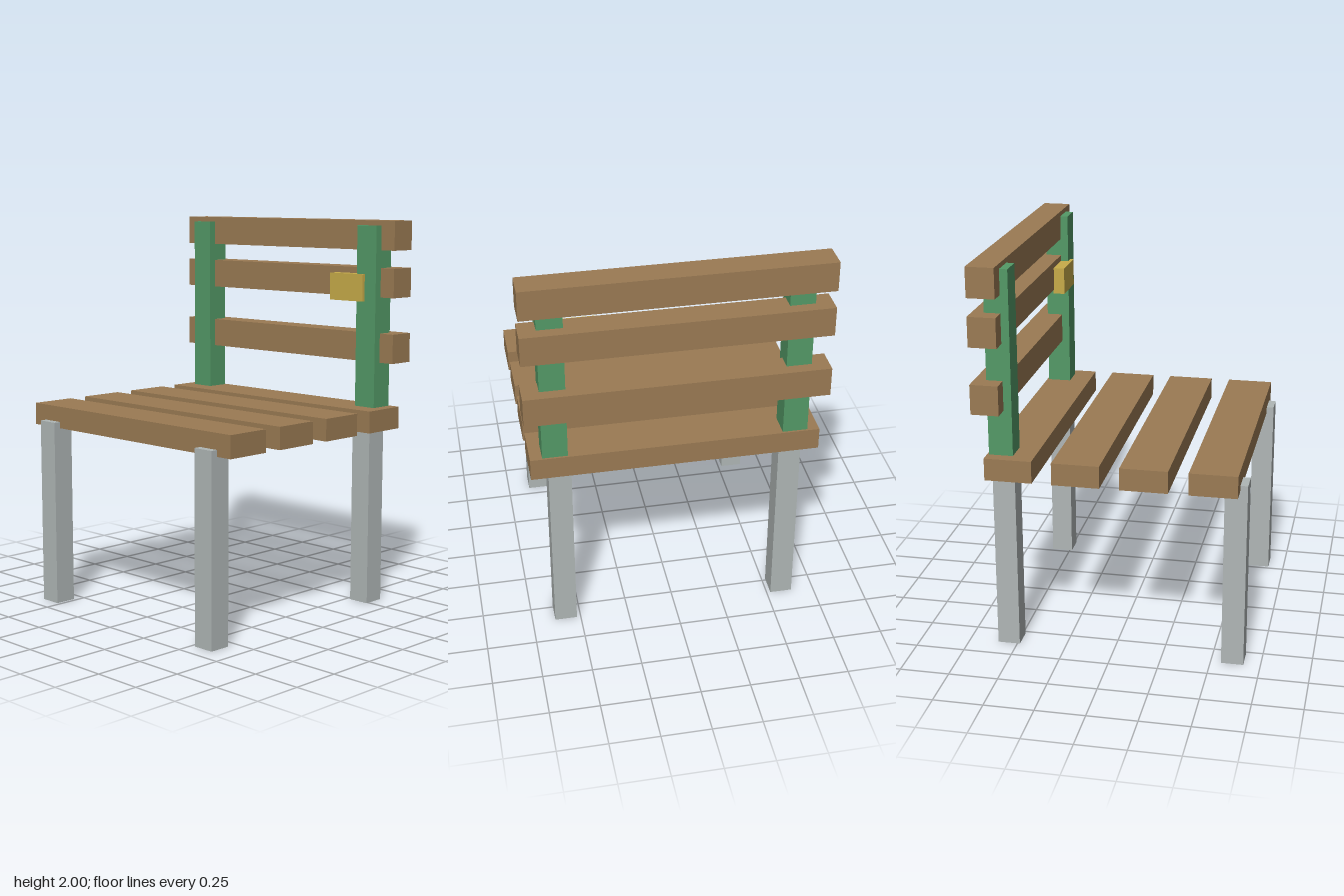
import * as THREE from 'three';

export function createModel() {
  const chair = new THREE.Group();
  chair.name = 'slattedChair';

  const wood = new THREE.MeshStandardMaterial({ color: 0x9b7b54 });
  wood.name = 'brownWood';
  const green = new THREE.MeshStandardMaterial({ color: 0x549a67 });
  green.name = 'greenPaint';
  const grey = new THREE.MeshStandardMaterial({ color: 0xb0b7b6 });
  grey.name = 'greyMetal';
  const yellow = new THREE.MeshStandardMaterial({ color: 0xc8ac4a });
  yellow.name = 'yellowTag';

  // Box given by its lower and upper limit on each axis
  function block(name, material, [x0, x1], [y0, y1], [z0, z1]) {
    const mesh = new THREE.Mesh(new THREE.BoxGeometry(x1 - x0, y1 - y0, z1 - z0), material);
    mesh.position.set((x0 + x1) / 2, (y0 + y1) / 2, (z0 + z1) / 2);
    mesh.name = name;
    chair.add(mesh);
  }

  // Four seat slats, evenly spaced from back to front
  for (let i = 0; i < 4; i++) {
    const z = -0.616 + i * 0.3355;
    block('seatSlat', wood, [-0.72, 0.72], [0.93, 1.043], [z, z + 0.237]);
  }

  // Three backrest slats behind the posts
  for (const y of [1.275, 1.61, 1.85]) {
    block('backSlat', wood, [-0.745, 0.745], [y, y + 0.15], [-0.665, -0.525]);
  }

  // Legs and back posts, mirrored left and right
  for (const side of [-1, 1]) {
    const span = (inner, outer) => (side > 0 ? [inner, outer] : [-outer, -inner]);
    block('frontLeg', grey, span(0.52, 0.633), [0, 0.963], [0.553, 0.665]);
    block('backLeg', grey, span(0.52, 0.633), [0, 0.963], [-0.6, -0.487]);
    block('backPost', green, span(0.535, 0.66), [0.97, 1.975], [-0.606, -0.485]);
  }

  // Small tag on the left post
  block('tag', yellow, [0.37, 0.588], [1.588, 1.728], [-0.53, -0.468]);

  return chair;
}
